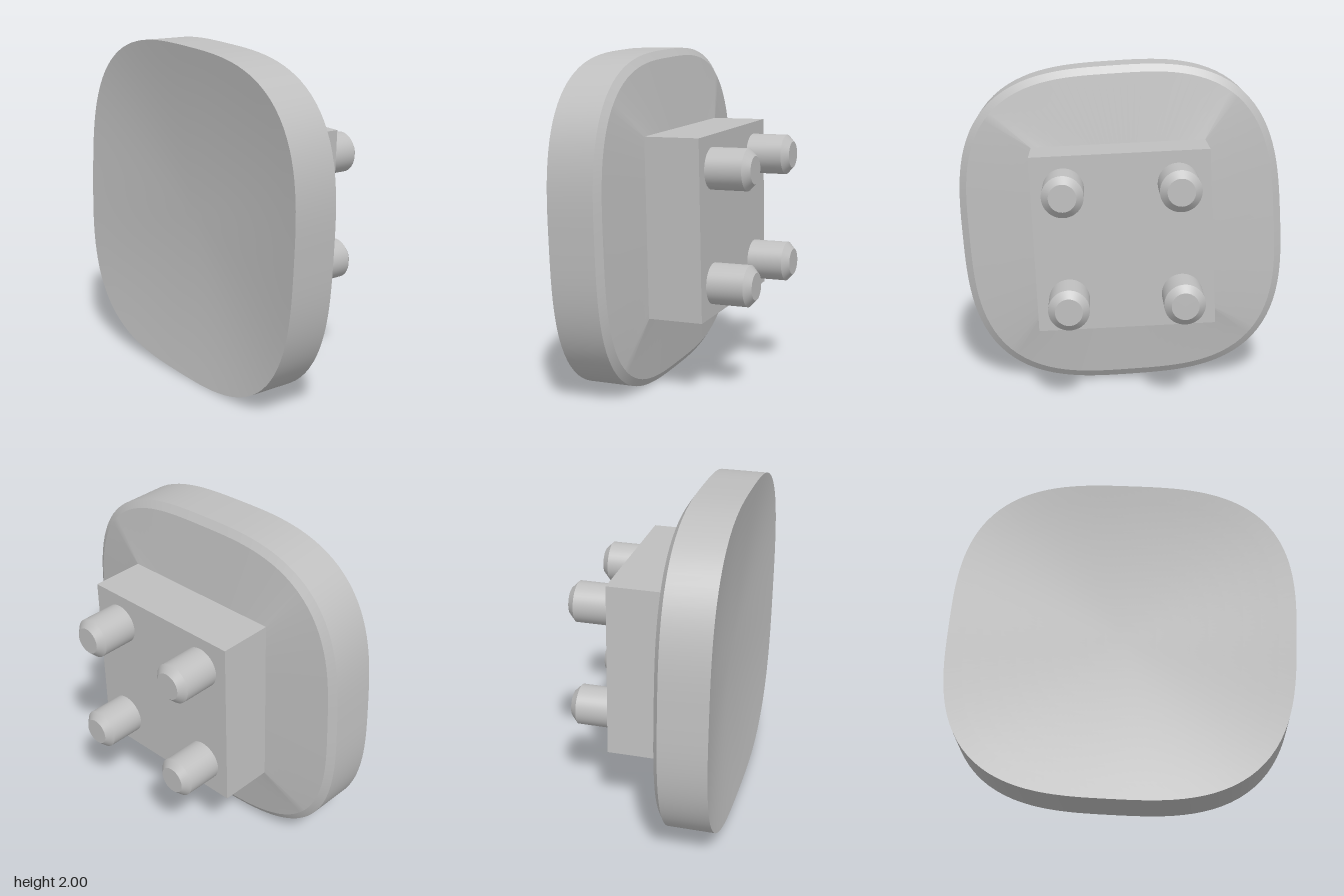
import * as THREE from 'three';
import { toCreasedNormals } from 'three/addons/utils/BufferGeometryUtils.js';

const SEGMENTS = 128;
const BLOCK = 1.055; // side of the square mounting block
const PAD_TILT = -THREE.MathUtils.degToRad(3.7);
const BLOCK_TILT = -THREE.MathUtils.degToRad(2.6);

// Radius of the rounded-square outline, and of a plain square, at an angle
const padRadius = (t) => 0.991 / Math.cbrt(Math.abs(Math.cos(t)) ** 3 + Math.abs(Math.sin(t)) ** 3);
const squareRadius = (t) => BLOCK / 2 / Math.max(Math.abs(Math.cos(t)), Math.abs(Math.sin(t)));

function ring(radius, tilt, z) {
  return Array.from({ length: SEGMENTS }, (_, j) => {
    const t = (j / SEGMENTS) * Math.PI * 2;
    const r = radius(t);
    return [r * Math.cos(t + tilt), r * Math.sin(t + tilt), z];
  });
}

// Skin a list of equal rings, ordered from front to back
function loft(rings, crease) {
  const positions = [];
  const index = [];
  rings.forEach((points) => points.forEach((p) => positions.push(...p)));
  for (let i = 0; i < rings.length - 1; i++) {
    for (let j = 0; j < SEGMENTS; j++) {
      const a = i * SEGMENTS + j;
      const b = i * SEGMENTS + ((j + 1) % SEGMENTS);
      const c = a + SEGMENTS;
      const d = b + SEGMENTS;
      if (i > 0) index.push(a, d, b);
      index.push(a, c, d);
    }
  }
  const geometry = new THREE.BufferGeometry();
  geometry.setAttribute('position', new THREE.Float32BufferAttribute(positions, 3));
  geometry.setIndex(index);
  return toCreasedNormals(geometry, crease);
}

export function createModel() {
  const model = new THREE.Group();
  model.name = 'pad';
  const grey = new THREE.MeshStandardMaterial({ color: 0xbfbfbf });
  grey.name = 'grey';

  const add = (parent, name, geometry, x, y, z) => {
    const mesh = new THREE.Mesh(geometry, grey);
    mesh.name = name;
    mesh.position.set(x, y, z);
    parent.add(mesh);
  };

  // Pad: shallow dished front, straight rim, small chamfer, sloped back
  const rings = [];
  for (let i = 0; i <= 10; i++) {
    const s = i / 10;
    rings.push(ring((t) => padRadius(t) * s, PAD_TILT, 0.4 + 0.08 * s * s));
  }
  rings.push(ring(padRadius, PAD_TILT, 0.2));
  rings.push(ring((t) => padRadius(t) - 0.045, PAD_TILT, 0.17));
  rings.push(ring(squareRadius, BLOCK_TILT, 0.11));
  add(model, 'dishedPad', loft(rings, 0.3), 0, 1, 0);

  // Square mounting block with four chamfered pegs
  const mount = new THREE.Group();
  mount.name = 'mount';
  mount.position.y = 1.003;
  mount.rotation.z = BLOCK_TILT;
  model.add(mount);
  add(mount, 'mountingBlock', new THREE.BoxGeometry(BLOCK, BLOCK, 0.36), 0, 0, -0.04);

  const profile = [[0.121, 0], [0.121, 0.225], [0.08, 0.265], [0, 0.265]];
  const lathe = new THREE.LatheGeometry(profile.map(([r, y]) => new THREE.Vector2(r, y)), 40);
  const peg = toCreasedNormals(lathe.rotateX(-Math.PI / 2), 0.4);
  for (const x of [-0.335, 0.335]) {
    for (const y of [-0.335, 0.335]) {
      add(mount, (y > 0 ? 'upper' : 'lower') + (x > 0 ? 'Left' : 'Right') + 'Peg', peg, x, y, -0.215);
    }
  }
  return model;
}
